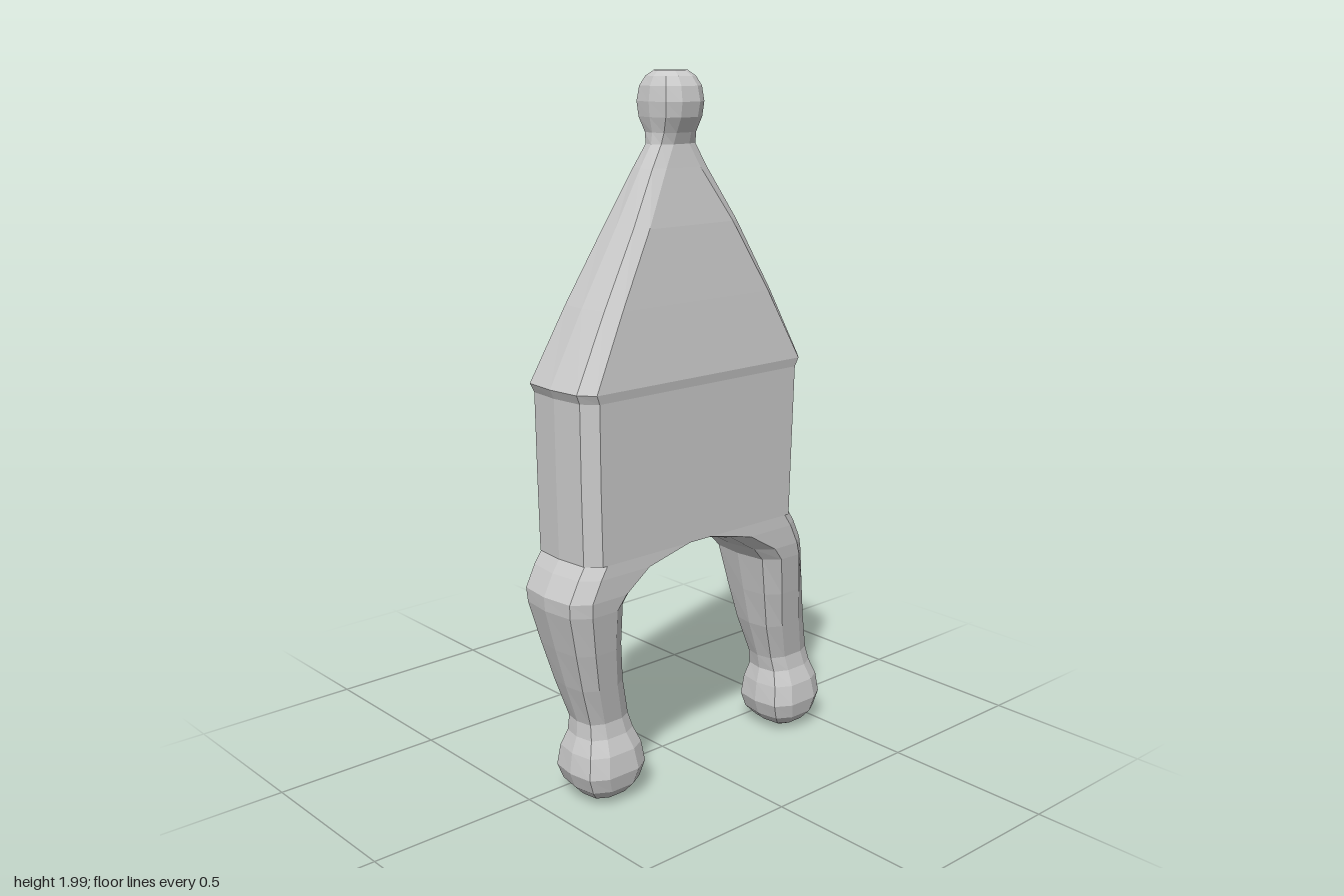
import * as THREE from 'three';

const CX = 0.098; // middle of the slab in x
const mat = new THREE.MeshStandardMaterial({ color: 0xcccccc, flatShading: true });

function add(group, name, geometry) {
  const mesh = new THREE.Mesh(geometry, mat);
  mesh.name = name;
  group.add(mesh);
  return mesh;
}

// Bevelled cross-section, counter-clockwise seen from above
function ring([y, z1, z0, hx], bevel) {
  const b = Math.min(bevel, (z1 - z0) * 0.3);
  const m = (z1 + z0) / 2;
  const half = [
    [0, z1], [0.72, z1 - 0.2 * b], [1, z1 - b], [1, m],
    [1, z0 + b], [0.72, z0 + 0.2 * b], [0, z0],
  ];
  const other = half.slice(1, -1).reverse().map(([x, z]) => [-x, z]);
  return [...half, ...other].map(([x, z]) => [CX + x * hx, y, z]);
}

// Skin rows [y, zMax, zMin, halfWidth], listed from top to bottom
function loft(rows, bevel) {
  const rings = rows.map((r) => ring(r, bevel));
  const n = rings[0].length;
  const pos = rings.flat(2);
  const index = [];
  for (let i = 0; i < rows.length - 1; i++) {
    for (let j = 0; j < n; j++) {
      const k = (j + 1) % n;
      const a = i * n + j, b = i * n + k, c = a + n, d = b + n;
      index.push(a, c, d, a, d, b);
    }
  }
  // End caps
  const last = (rows.length - 1) * n;
  for (let j = 1; j < n - 1; j++) {
    index.push(0, j, j + 1, last, last + j + 1, last + j);
  }
  const g = new THREE.BufferGeometry();
  g.setAttribute('position', new THREE.Float32BufferAttribute(pos, 3));
  g.setIndex(index);
  const flat = g.toNonIndexed();
  flat.computeVertexNormals();
  return flat;
}

export function createModel() {
  const group = new THREE.Group();

  // Knob head, neck and sloping shoulders down to the hips
  add(group, 'body', loft([
    [2.0, 0.1, 0.015, 0.035],
    [1.985, 0.118, -0.002, 0.057],
    [1.96, 0.13, -0.014, 0.074],
    [1.92, 0.135, -0.018, 0.082],
    [1.88, 0.132, -0.015, 0.075],
    [1.84, 0.123, -0.007, 0.053],
    [1.81, 0.127, -0.012, 0.043],
    [1.75, 0.165, -0.045, 0.054],
    [1.6, 0.25, -0.14, 0.084],
    [1.4, 0.367, -0.253, 0.112],
    [1.2, 0.475, -0.355, 0.137],
    [1.175, 0.463, -0.345, 0.133],
    [0.95, 0.46, -0.34, 0.131],
    [0.735, 0.455, -0.335, 0.13],
  ], 0.045));

  // Legs: their inner edges spread from the middle to form the arch
  add(group, 'frontLeg', loft([
    [0.735, 0.455, 0.04, 0.13],
    [0.7, 0.478, 0.19, 0.132],
    [0.64, 0.508, 0.272, 0.132],
    [0.6, 0.505, 0.3, 0.128],
    [0.48, 0.473, 0.296, 0.108],
    [0.365, 0.44, 0.28, 0.087],
    [0.25, 0.402, 0.25, 0.066],
    [0.205, 0.405, 0.235, 0.073],
    [0.16, 0.422, 0.215, 0.093],
    [0.1, 0.43, 0.206, 0.102],
    [0.055, 0.413, 0.222, 0.093],
    [0.025, 0.385, 0.25, 0.068],
    [0.007, 0.35, 0.285, 0.035],
  ], 0.06));
  add(group, 'backLeg', loft([
    [0.735, 0.08, -0.335, 0.13],
    [0.7, -0.075, -0.358, 0.132],
    [0.64, -0.175, -0.387, 0.132],
    [0.6, -0.212, -0.396, 0.128],
    [0.48, -0.238, -0.42, 0.108],
    [0.365, -0.265, -0.445, 0.087],
    [0.25, -0.303, -0.475, 0.066],
    [0.205, -0.312, -0.487, 0.073],
    [0.16, -0.301, -0.505, 0.093],
    [0.1, -0.295, -0.513, 0.102],
    [0.055, -0.31, -0.498, 0.093],
    [0.025, -0.34, -0.468, 0.068],
    [0.007, -0.372, -0.435, 0.035],
  ], 0.06));

  // Curved, tapering nose on the flat side
  const nose = new THREE.CylinderGeometry(1, 1, 1, 8, 5);
  const p = nose.attributes.position;
  for (let i = 0; i < p.count; i++) {
    const t = p.getY(i) + 0.5;
    const r = 0.06 * (1 - 0.88 * Math.pow(t, 1.25));
    p.setXYZ(i,
      -0.03 - 0.21 * t,
      0.972 - 0.007 * t + p.getX(i) * r,
      0.038 - 0.1 * Math.pow(t, 1.1) + p.getZ(i) * r);
  }
  nose.computeVertexNormals();
  add(group, 'nose', nose);

  // U-shaped mouth with an eye above each end
  const mouth = [[-0.125, 1.05], [-0.125, 0.97], [-0.122, 0.89], [-0.075, 0.83], [0.028, 0.815],
    [0.13, 0.83], [0.177, 0.89], [0.18, 0.97], [0.18, 1.05]]
    .map(([z, y]) => new THREE.Vector3(-0.046, y, z));
  add(group, 'mouth', new THREE.TubeGeometry(new THREE.CatmullRomCurve3(mouth), 32, 0.015, 8));
  for (const z of [-0.125, 0.18]) {
    add(group, 'mouthEnd', new THREE.SphereGeometry(0.015, 8, 6)).position.set(-0.046, 1.05, z);
    add(group, 'eye', new THREE.SphereGeometry(0.027, 12, 8)).position.set(-0.048, 1.095, z);
  }
  return group;
}
